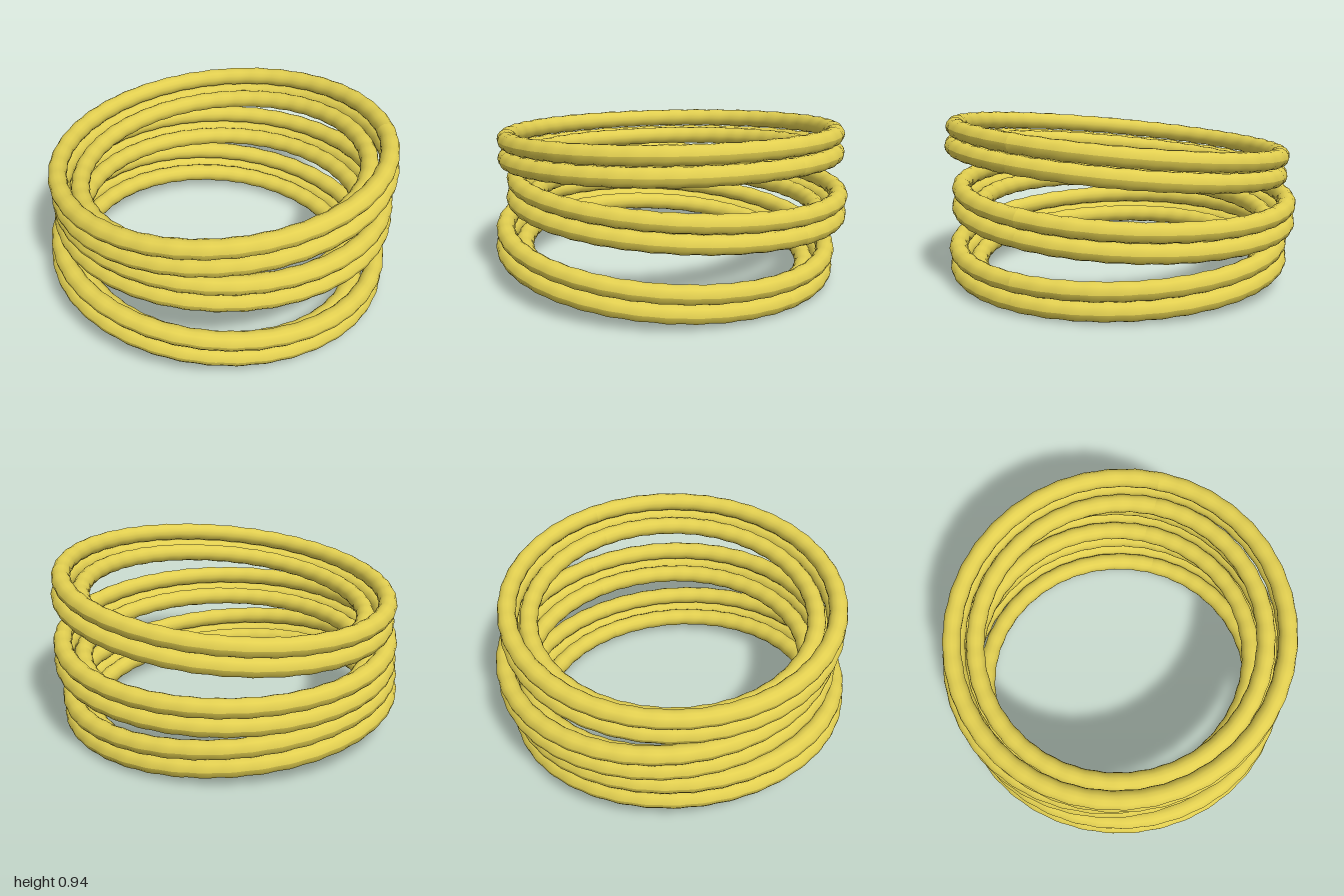
import * as THREE from 'three';

const TUBE = 0.051;
const RIPPLES = 40;

// One ring of wire lying flat, with a faint hand-hammered ripple in its thickness
function strandGeometry(radius, phase) {
  const geo = new THREE.TorusGeometry(radius, TUBE, 14, RIPPLES * 4);
  geo.rotateX(Math.PI / 2);
  const pos = geo.attributes.position;
  for (let i = 0; i < pos.count; i++) {
    const x = pos.getX(i), y = pos.getY(i), z = pos.getZ(i);
    const a = Math.atan2(z, x);
    const k = 1 + 0.045 * Math.cos(RIPPLES * a + phase);
    const r = radius + (Math.hypot(x, z) - radius) * k;
    pos.setXYZ(i, r * Math.cos(a), y * k, r * Math.sin(a));
  }
  geo.computeVertexNormals();
  return geo;
}

export function createModel() {
  const gold = new THREE.MeshStandardMaterial({ color: 0xe2cf50 });
  gold.name = 'gold';
  const model = new THREE.Group();
  model.name = 'bangleStack';

  // Centre of each bangle and its slope along x and z
  const bangles = [
    { name: 'bottomBangle', at: [-0.02, 0.182, 0.034], slope: [-0.077, 0.023] },
    { name: 'middleBangle', at: [0.012, 0.464, -0.028], slope: [-0.008, 0.064] },
    { name: 'topBangle', at: [0.01, 0.75, 0.018], slope: [0.084, 0.055] },
  ];
  // Each bangle is three wires: a stacked outer pair and one inside the lower wire
  const strands = [
    ['outerUpperStrand', 0.914, 0.052],
    ['outerLowerStrand', 0.914, -0.052],
    ['innerLowerStrand', 0.805, -0.052],
  ];
  const up = new THREE.Vector3(0, 1, 0);

  for (const { name, at, slope } of bangles) {
    const bangle = new THREE.Group();
    bangle.name = name;
    strands.forEach(([part, radius, y], i) => {
      const mesh = new THREE.Mesh(strandGeometry(radius, i * 2), gold);
      mesh.name = part;
      mesh.position.y = y;
      bangle.add(mesh);
    });
    bangle.position.set(...at);
    const normal = new THREE.Vector3(-slope[0], 1, -slope[1]).normalize();
    bangle.quaternion.setFromUnitVectors(up, normal);
    model.add(bangle);
  }
  return model;
}
